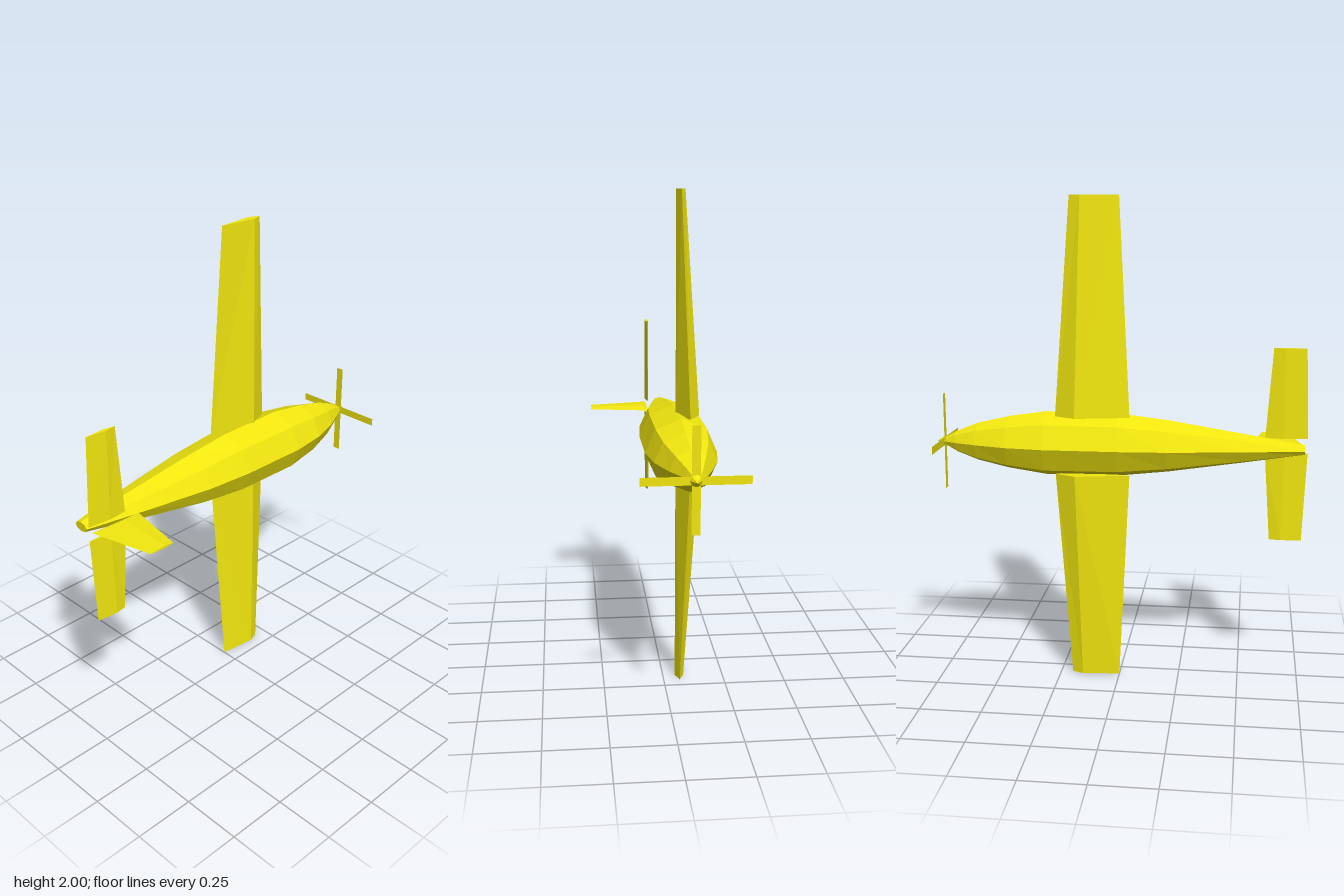
import * as THREE from 'three';

const yellow = new THREE.MeshStandardMaterial({ color: 0xf2e70f, flatShading: true, side: THREE.DoubleSide });

// Skins a list of equal-length rings of [x, y, z] points and closes both ends.
function loft(rings) {
  const n = rings[0].length, index = [];
  for (let r = 0; r < rings.length - 1; r++) {
    for (let i = 0; i < n; i++) {
      const a = r * n + i, b = r * n + (i + 1) % n;
      index.push(a, b, b + n, a, b + n, a + n);
    }
  }
  const last = (rings.length - 1) * n;
  for (let i = 1; i < n - 1; i++) index.push(0, i + 1, i, last, last + i, last + i + 1);

  // Turn every face outward if the enclosed volume comes out negative
  const pts = rings.flat().map(p => new THREE.Vector3(...p));
  let volume = 0;
  for (let k = 0; k < index.length; k += 3) {
    volume += pts[index[k]].dot(pts[index[k + 1]].clone().cross(pts[index[k + 2]]));
  }
  if (volume < 0) index.reverse();

  const geo = new THREE.BufferGeometry().setFromPoints(pts);
  geo.setIndex(index);
  const flat = geo.toNonIndexed();
  flat.computeVertexNormals();
  return flat;
}

export function createModel() {
  const model = new THREE.Group();
  const add = (name, geometry, parent = model) => {
    const mesh = new THREE.Mesh(geometry, yellow);
    mesh.name = name;
    parent.add(mesh);
    return mesh;
  };

  // Fuselage: octagonal stations [x, half height in y, half width in z, centre z]
  const stations = [
    [-0.75, 0.02, 0.033, -0.068], [-0.5, 0.06, 0.08, -0.065], [-0.2, 0.107, 0.127, -0.059],
    [0, 0.13, 0.141, -0.057], [0.3, 0.133, 0.141, -0.057], [0.457, 0.11, 0.12, -0.058],
    [0.59, 0.079, 0.079, -0.061], [0.68, 0.043, 0.041, -0.066], [0.738, 0.01, 0.01, -0.066],
  ];
  add('fuselage', loft(stations.map(([x, ry, rz, cz]) =>
    Array.from({ length: 8 }, (_, i) => {
      const a = i * Math.PI / 4;
      return [x, 1 + ry * Math.cos(a), cz + rz * Math.sin(a)];
    }))));

  // Wings and tailplanes: four-cornered sections tapering outward along y
  const wingRoot = [[-0.045, -0.098], [0.16, -0.05], [0.26, -0.098], [0.175, -0.143]];
  const wingTip = [[0, -0.07], [0.155, -0.05], [0.2, -0.067], [0.155, -0.086]];
  const tailRoot = [[-0.765, 0], [-0.67, 0.01], [-0.592, 0.002], [-0.67, -0.007]];
  const tailTip = [[-0.75, 0], [-0.665, 0.01], [-0.618, 0.002], [-0.665, -0.007]];
  for (const [side, s] of [['Upper', 1], ['Lower', -1]]) {
    const panel = (root, y0, tip, y1) => loft([
      root.map(([x, z]) => [x, 1 + s * y0, z]),
      tip.map(([x, z]) => [x, 1 + s * y1, z]),
    ]);
    add('wing' + side, panel(wingRoot, 0.12, wingTip, 1));
    add('tailplane' + side, panel(tailRoot, 0.03, tailTip, 0.4));
  }

  // Tail fin, a thin lens section rising along z
  add('tailFin', loft([
    [[-0.75, 1, 0], [-0.61, 1.009, 0.02], [-0.53, 1, 0.005], [-0.61, 0.991, 0.02]],
    [[-0.69, 1, 0.262], [-0.62, 1.005, 0.262], [-0.58, 1, 0.262], [-0.62, 0.995, 0.262]],
  ]));

  // Propeller: two crossed flat blades and a pointed spinner
  const propeller = new THREE.Group();
  propeller.name = 'propeller';
  propeller.position.set(0.73, 1, -0.064);
  model.add(propeller);
  for (const [name, length, height] of [['bladeAcross', 0.4, 0.032], ['bladeUpright', 0.032, 0.4]]) {
    add(name, new THREE.PlaneGeometry(length, height).rotateY(Math.PI / 2), propeller);
  }
  add('spinner', new THREE.ConeGeometry(0.025, 0.035, 8).rotateZ(-Math.PI / 2), propeller).position.x = 0.0145;

  return model;
}
